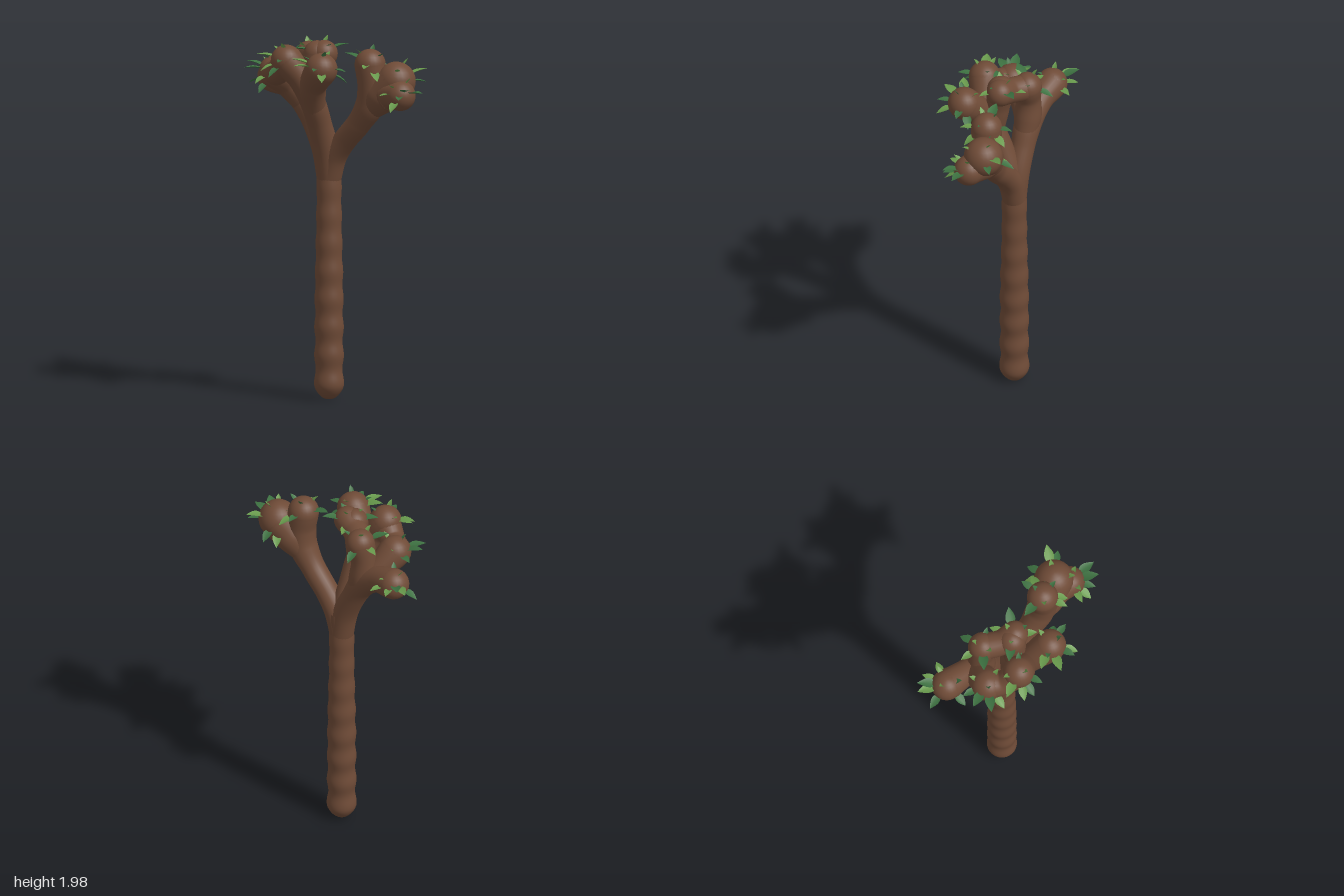
import * as THREE from 'three';
import { mergeVertices, mergeGeometries } from 'three/addons/utils/BufferGeometryUtils.js';

const bark = new THREE.MeshStandardMaterial({ color: 0x6f4b37 });
const greens = [0x3c7040, 0x689a4c].map(
  (color) => new THREE.MeshStandardMaterial({ color, side: THREE.DoubleSide }));

// Weld the seam so the bark shades smoothly
function smooth(geo) {
  geo.deleteAttribute('uv');
  geo.deleteAttribute('normal');
  const welded = mergeVertices(geo, 1e-5);
  welded.computeVertexNormals();
  return welded;
}

// Limb of varying thickness through [x, y, z, radius] points, with a round tip
function limbGeometry(points) {
  const curve = new THREE.CatmullRomCurve3(points.map((p) => new THREE.Vector3(p[0], p[1], p[2])));
  const rings = points.length * 8, sides = 24;
  const tube = new THREE.TubeGeometry(curve, rings, 1, sides);
  const pos = tube.attributes.position;
  const lengths = curve.getLengths(200), total = lengths[200];
  const stops = points.map((p, i) => lengths[Math.round(200 * i / (points.length - 1))] / total);
  const v = new THREE.Vector3();
  for (let i = 0; i <= rings; i++) {
    const u = i / rings, c = curve.getPointAt(u);
    let k = 0;
    while (k < points.length - 2 && u > stops[k + 1]) k++;
    const f = THREE.MathUtils.smoothstep(u, stops[k], stops[k + 1]);
    const r = THREE.MathUtils.lerp(points[k][3], points[k + 1][3], f);
    for (let j = 0; j <= sides; j++) {
      const n = i * (sides + 1) + j;
      v.fromBufferAttribute(pos, n).sub(c).multiplyScalar(r).add(c);
      pos.setXYZ(n, v.x, v.y, v.z);
    }
  }
  const [x, y, z, r] = points[points.length - 1];
  const tip = new THREE.SphereGeometry(r, 24, 16).translate(x, y, z);
  return mergeGeometries([smooth(tube), smooth(tip)]);
}

// Ringed trunk with a rounded foot
function trunkGeometry() {
  const profile = [];
  for (let i = 0; i <= 90; i++) {
    const y = 1.34 * (i / 90) ** 1.2;
    const taper = 0.076 - 0.009 * THREE.MathUtils.smoothstep(y, 0.5, 1.1);
    let r = taper + 0.005 * (1 - y / 1.8) * Math.cos(2 * Math.PI * (y - 0.09) / 0.152);
    if (y < 0.08) r *= Math.sqrt(Math.max(0, 1 - (1 - y / 0.08) ** 2));
    profile.push(new THREE.Vector2(r, y));
  }
  return smooth(new THREE.LatheGeometry(profile, 32).translate(-0.04, 0, -0.078));
}

// Pointed leaf along +y, slightly folded on its midrib and curled at the tip
function leafGeometry() {
  const geo = new THREE.PlaneGeometry(1, 1, 2, 6);
  const pos = geo.attributes.position;
  for (let i = 0; i < pos.count; i++) {
    const t = pos.getY(i) + 0.5;
    const x = pos.getX(i) * 0.055 * Math.sin(Math.PI * (0.08 + 0.92 * t) ** 0.8);
    pos.setXYZ(i, x, t * 0.1, Math.abs(x) * 0.35 - 0.012 * t * t);
  }
  geo.computeVertexNormals();
  return geo;
}

const limbs = {
  // right-hand fork as seen from the front, on the model's left
  leftBough: [[-0.04, 1.2, -0.078, 0.066], [0.0, 1.33, -0.078, 0.068], [0.07, 1.42, -0.078, 0.064],
    [0.165, 1.52, -0.078, 0.066], [0.24, 1.63, -0.08, 0.078], [0.26, 1.74, -0.075, 0.08], [0.25, 1.85, -0.07, 0.084]],
  leftOuterKnob: [[0.2, 1.57, -0.08, 0.06], [0.31, 1.69, -0.1, 0.1], [0.385, 1.765, -0.125, 0.106]],
  leftLowKnob: [[0.24, 1.64, -0.08, 0.075], [0.36, 1.7, -0.1, 0.095], [0.455, 1.7, -0.075, 0.082]],
  // middle fork, leaning forward and splitting in two
  middleBough: [[-0.04, 1.2, -0.078, 0.066], [-0.04, 1.36, -0.05, 0.07], [-0.04, 1.5, 0.0, 0.066],
    [-0.04, 1.63, 0.06, 0.068], [-0.07, 1.76, 0.12, 0.07], [-0.14, 1.86, 0.16, 0.086]],
  middleKnob: [[-0.04, 1.6, 0.05, 0.065], [0.0, 1.73, 0.11, 0.075], [0.095, 1.835, 0.155, 0.088]],
  // outer fork on the model's right
  rightBough: [[-0.04, 1.2, -0.078, 0.066], [-0.07, 1.35, -0.078, 0.068], [-0.13, 1.48, -0.078, 0.066],
    [-0.2, 1.6, -0.075, 0.074], [-0.31, 1.68, -0.08, 0.072], [-0.435, 1.715, -0.088, 0.084]],
  rightUprightKnob: [[-0.15, 1.52, -0.078, 0.06], [-0.195, 1.65, -0.075, 0.075],
    [-0.2, 1.76, -0.075, 0.068], [-0.18, 1.855, -0.08, 0.078]],
  rightFrontKnob: [[-0.2, 1.6, -0.075, 0.07], [-0.26, 1.7, -0.01, 0.075], [-0.29, 1.775, 0.075, 0.088]],
  // bridges joining the crown
  frontBridge: [[-0.29, 1.775, 0.075, 0.08], [-0.22, 1.79, 0.13, 0.068], [-0.14, 1.85, 0.16, 0.08]],
  crownBridge: [[-0.18, 1.85, -0.08, 0.072], [-0.09, 1.865, -0.025, 0.07], [-0.015, 1.89, -0.005, 0.074]],
  crownStem: [[-0.04, 1.62, 0.05, 0.06], [-0.05, 1.76, 0.03, 0.065], [-0.05, 1.885, 0.01, 0.075]],
};

// Leaf clusters: knob centre, radius, and headings in degrees (0 = +x, 90 = +z)
const clusters = [
  [[0.25, 1.85, -0.07], 0.084, [-100, -70, 170, 65, 35]],
  [[0.385, 1.765, -0.125], 0.106, [-105, -60, -40, -130]],
  [[0.455, 1.7, -0.075], 0.082, [35, 55, 75, 5, 105]],
  [[0.095, 1.835, 0.155], 0.088, [-12, -38, 112, 68, 50, 150]],
  [[-0.14, 1.86, 0.16], 0.086, [95, 155, 70, 120]],
  [[-0.29, 1.775, 0.075], 0.088, [125, 195, 95, 160]],
  [[-0.435, 1.715, -0.088], 0.084, [-115, 170, -140, -70, 85, 205]],
  [[-0.18, 1.855, -0.08], 0.078, [-105, 130, 190]],
  [[-0.03, 1.89, -0.005], 0.074, [-55, -115, 115, 140, 35]],
];

export function createModel() {
  const tree = new THREE.Group();
  tree.name = 'tree';
  const add = (parent, name, geo, mat) => {
    const mesh = new THREE.Mesh(geo, mat);
    mesh.name = name;
    parent.add(mesh);
    return mesh;
  };

  add(tree, 'trunk', trunkGeometry(), bark);
  const branches = new THREE.Group();
  branches.name = 'branches';
  tree.add(branches);
  for (const [name, points] of Object.entries(limbs)) add(branches, name, limbGeometry(points), bark);

  // Leaves stand out from each knob, blades roughly level
  const foliage = new THREE.Group();
  foliage.name = 'foliage';
  tree.add(foliage);
  const blade = leafGeometry();
  const up = new THREE.Vector3(0, 1, 0);
  const tilts = [8, -14, 22, 2, -25, 14];
  let count = 0;
  const addLeaf = (centre, radius, heading, tilt, size) => {
    const a = THREE.MathUtils.degToRad(heading), e = THREE.MathUtils.degToRad(tilt);
    const out = new THREE.Vector3(Math.cos(a) * Math.cos(e), Math.sin(e), Math.sin(a) * Math.cos(e));
    const side = new THREE.Vector3().crossVectors(out, up).normalize();
    const face = new THREE.Vector3().crossVectors(side, out);
    const leaf = add(foliage, 'leaf', blade, greens[(count * 3 + (count >> 2)) % 2]);
    leaf.quaternion.setFromRotationMatrix(new THREE.Matrix4().makeBasis(side, out, face));
    leaf.position.fromArray(centre).addScaledVector(out, radius - 0.015);
    leaf.scale.setScalar(size);
    count++;
  };
  clusters.forEach(([centre, radius, headings], c) => {
    headings.forEach((h, i) => addLeaf(centre, radius, h, tilts[(i + c) % 6], 0.75 + 0.12 * ((i + c) % 3)));
    // a few shorter leaves on the upper side
    for (let i = 0; i < 3; i++) addLeaf(centre, radius, c * 47 + i * 125, 38 + 12 * i, 0.5);
  });
  return tree;
}
